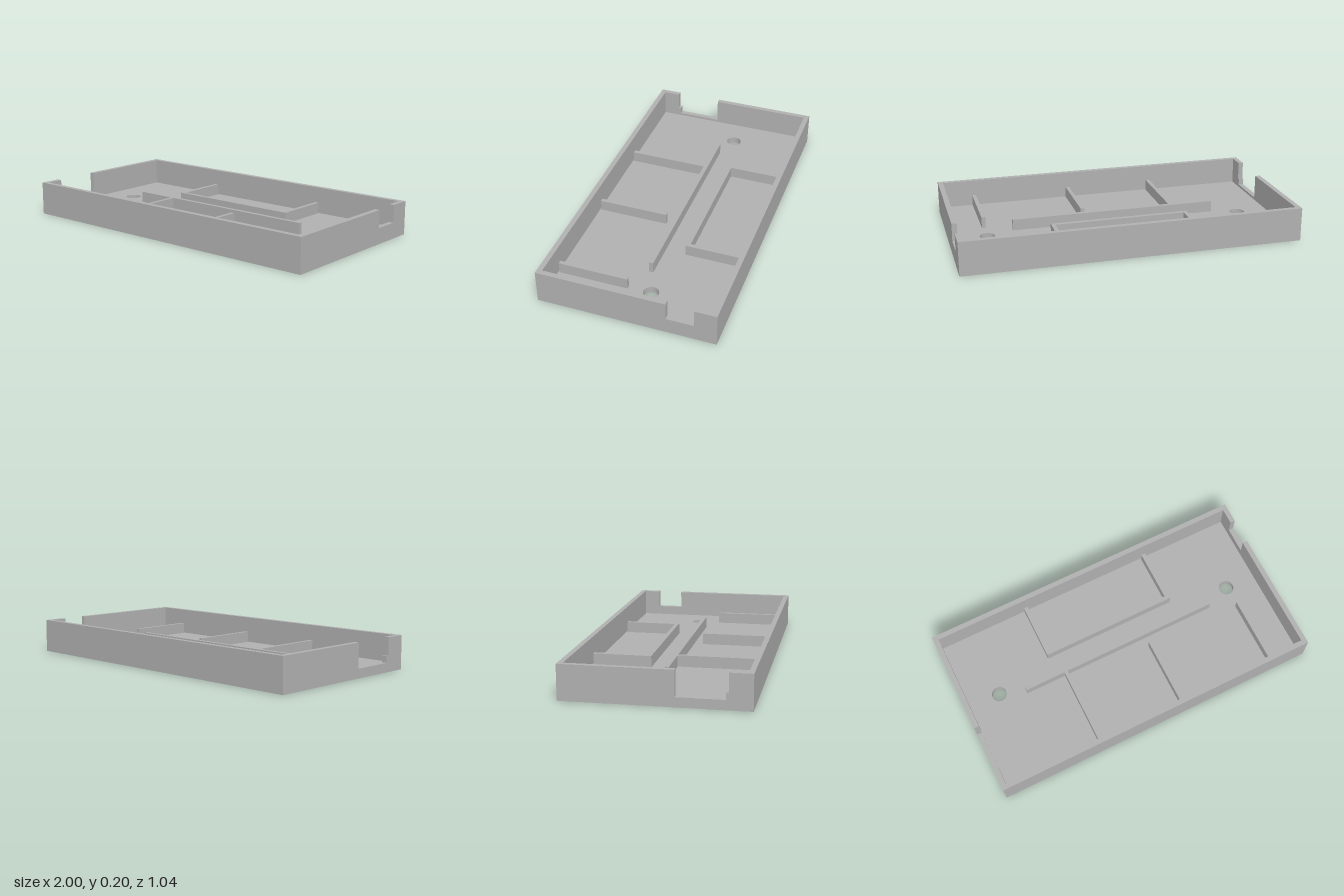
import * as THREE from 'three';

const W = 1, D = 0.518, H = 0.2;      // half width, half depth, wall height
const WALL = 0.03, FLOOR = 0.04, RIB_TOP = 0.107;

export function createModel() {
  const model = new THREE.Group();
  model.name = 'tray';
  const grey = new THREE.MeshStandardMaterial({ color: 0xb0b0b0 });
  grey.name = 'grey plastic';

  const add = (name, geometry) => {
    const mesh = new THREE.Mesh(geometry, grey);
    mesh.name = name;
    model.add(mesh);
  };
  // Box given by its extents
  const block = (name, x0, x1, y0, y1, z0, z1) => {
    const g = new THREE.BoxGeometry(x1 - x0, y1 - y0, z1 - z0);
    g.translate((x0 + x1) / 2, (y0 + y1) / 2, (z0 + z1) / 2);
    add(name, g);
  };
  const rib = (name, x0, x1, z0, z1) => block(name, x0, x1, FLOOR, RIB_TOP, z0, z1);

  // Floor with two screw holes
  const ix = W - WALL, iz = D - WALL;
  const floor = new THREE.Shape([[-ix, -iz], [ix, -iz], [ix, iz], [-ix, iz]].map(p => new THREE.Vector2(...p)));
  for (const x of [-0.78, 0.78]) {
    floor.holes.push(new THREE.Path().absarc(x, -0.067, 0.045, 0, Math.PI * 2, true));
  }
  const floorGeo = new THREE.ExtrudeGeometry(floor, { depth: FLOOR, bevelEnabled: false, curveSegments: 24 });
  floorGeo.rotateX(Math.PI / 2).translate(0, FLOOR, 0);
  add('floor', floorGeo);

  // Long walls
  block('frontWall', -W, W, 0, H, iz, D);
  block('backWall', -W, W, 0, H, -D, -iz);

  // Short walls: (z, y) outline with a cut-out in the top edge
  const endWall = (name, xOuter, cut) => {
    const outline = [[-iz, 0], [iz, 0], [iz, H], ...cut, [-iz, H]];
    const g = new THREE.ExtrudeGeometry(
      new THREE.Shape(outline.map(p => new THREE.Vector2(...p))),
      { depth: WALL, bevelEnabled: false });
    g.rotateY(-Math.PI / 2).translate(xOuter, 0, 0);
    add(name, g);
  };
  endWall('leftWall', W, [[-0.233, H], [-0.233, 0.095], [-0.39, 0.095], [-0.39, H]]);
  endWall('rightWall', -ix, [[0.39, H], [0.39, 0.095], [0.375, 0.095], [0.375, 0.055], [0.11, 0.055], [0.11, H]]);

  // Bracket at the back
  rib('bracketRight', -0.42, -0.395, -0.48, -0.14);
  rib('bracketLeft', 0.392, 0.417, -0.48, -0.14);
  rib('bracketFront', -0.395, 0.392, -0.165, -0.14);

  // Long divider and the three ribs in front of it
  rib('divider', -0.625, 0.62, -0.02, 0.005);
  rib('ribRight', -0.375, -0.352, 0.005, 0.48);
  rib('ribMiddle', 0.166, 0.189, 0.06, 0.48);
  rib('ribLeft', 0.77, 0.793, 0.068, 0.48);

  return model;
}
